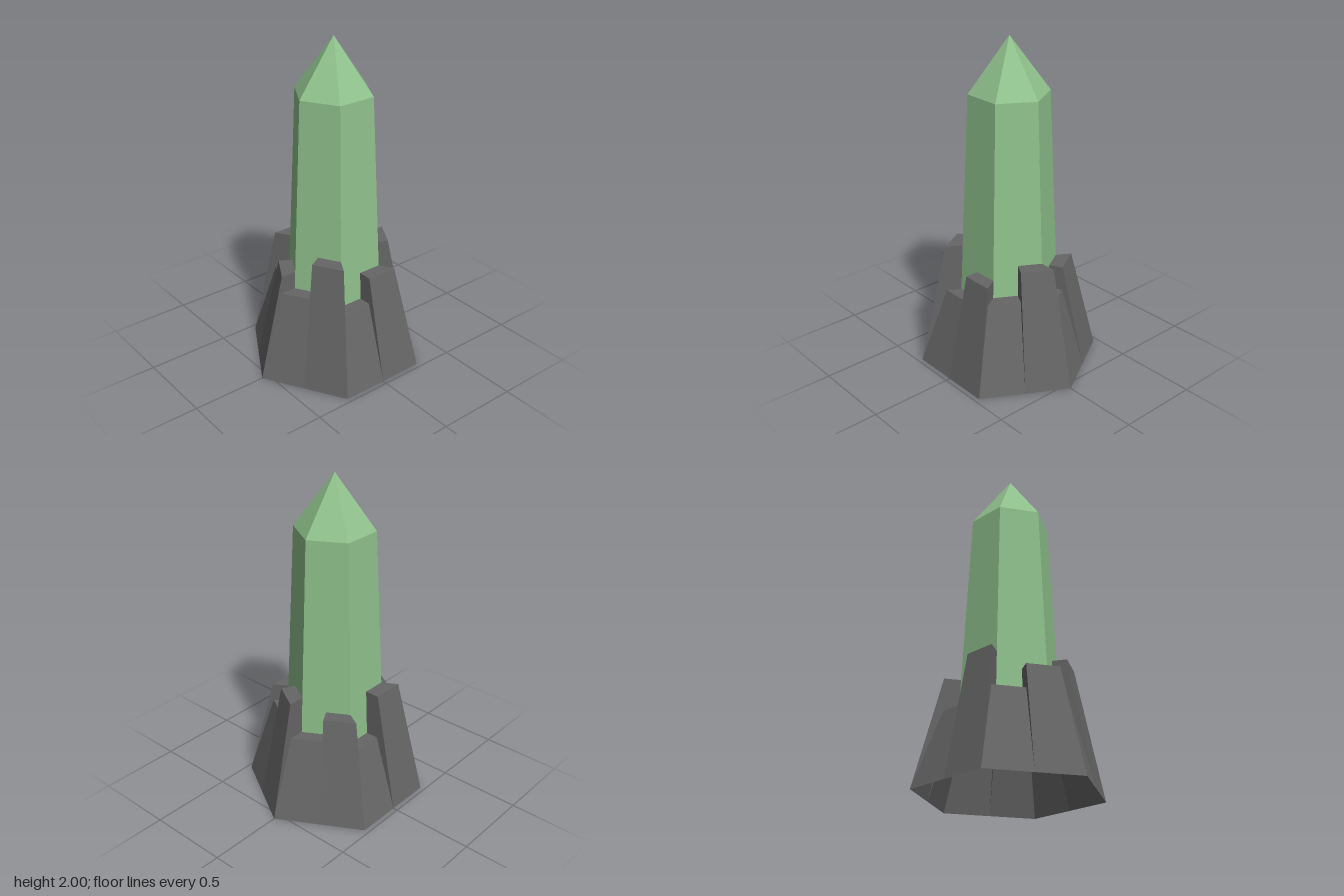
import * as THREE from 'three';

const BASE_R = 0.545, RIM_R = 0.382, INNER_R = 0.262;

// Point on a hexagonal ring: even k is a corner, odd k the middle of a side
function ringPoint(k, r, y) {
  const a = k * Math.PI / 6;
  const d = k % 2 ? r * Math.cos(Math.PI / 6) : r;
  return new THREE.Vector3(d * Math.cos(a), y, d * Math.sin(a));
}

// Flat-faced geometry from a list of convex polygons
function fromPolygons(polys) {
  const pts = [];
  for (const p of polys) {
    for (let i = 1; i < p.length - 1; i++) pts.push(p[0], p[i], p[i + 1]);
  }
  const g = new THREE.BufferGeometry().setFromPoints(pts);
  g.computeVertexNormals();
  return g;
}

// One leaning stone: sloped face, top ledge, and the ends that rise above its neighbours
function stoneGeometry(k, h, prevH, nextH) {
  const P = ringPoint, n = k + 1;
  const polys = [
    [P(n, BASE_R, 0), P(k, BASE_R, 0), P(k, RIM_R, h), P(n, RIM_R, h)],
    [P(k, RIM_R, h), P(k, INNER_R, h), P(n, INNER_R, h), P(n, RIM_R, h)],
  ];
  for (const [e, low, flip] of [[k, prevH, false], [n, nextH, true]]) {
    if (low >= h) continue;
    const ends = [
      [P(e, BASE_R, 0), P(e, RIM_R, low), P(e, RIM_R, h)],
      [P(e, RIM_R, low), P(e, INNER_R, low), P(e, INNER_R, h), P(e, RIM_R, h)],
    ];
    for (const p of ends) polys.push(flip ? p.reverse() : p);
  }
  return fromPolygons(polys);
}

export function createModel() {
  const model = new THREE.Group();
  model.name = 'crystalObelisk';
  const stone = new THREE.MeshStandardMaterial({ color: 0x666666, flatShading: true, side: THREE.DoubleSide });
  const green = new THREE.MeshStandardMaterial({ color: 0x8fc18c, flatShading: true });

  // Ring of stones, two per side, at uneven heights and open underneath
  const base = new THREE.Group();
  base.name = 'stoneBase';
  const heights = [0.72, 0.53, 0.64, 0.47, 0.76, 0.53, 0.64, 0.5, 0.73, 0.45, 0.64, 0.49];
  heights.forEach((h, k) => {
    const geo = stoneGeometry(k, h, heights[(k + 11) % 12], heights[(k + 1) % 12]);
    const mesh = new THREE.Mesh(geo, stone);
    mesh.name = 'stone' + (k + 1);
    base.add(mesh);
  });
  model.add(base);

  // Tapered crystal shaft, its foot held between the stones
  const bottom = 0.43, shoulder = 1.68, shoulderR = 0.235;
  const shaft = new THREE.Mesh(
    new THREE.CylinderGeometry(shoulderR, 0.296, shoulder - bottom, 6).toNonIndexed(), green);
  shaft.name = 'crystalShaft';
  shaft.position.y = (bottom + shoulder) / 2;

  // Pointed crystal tip
  const tip = new THREE.Mesh(
    new THREE.ConeGeometry(shoulderR, 2 - shoulder, 6, 1, true).toNonIndexed(), green);
  tip.name = 'crystalTip';
  tip.position.y = (2 + shoulder) / 2;

  for (const part of [shaft, tip]) {
    part.geometry.rotateY(Math.PI / 6);
    part.geometry.computeVertexNormals();
    model.add(part);
  }
  return model;
}
